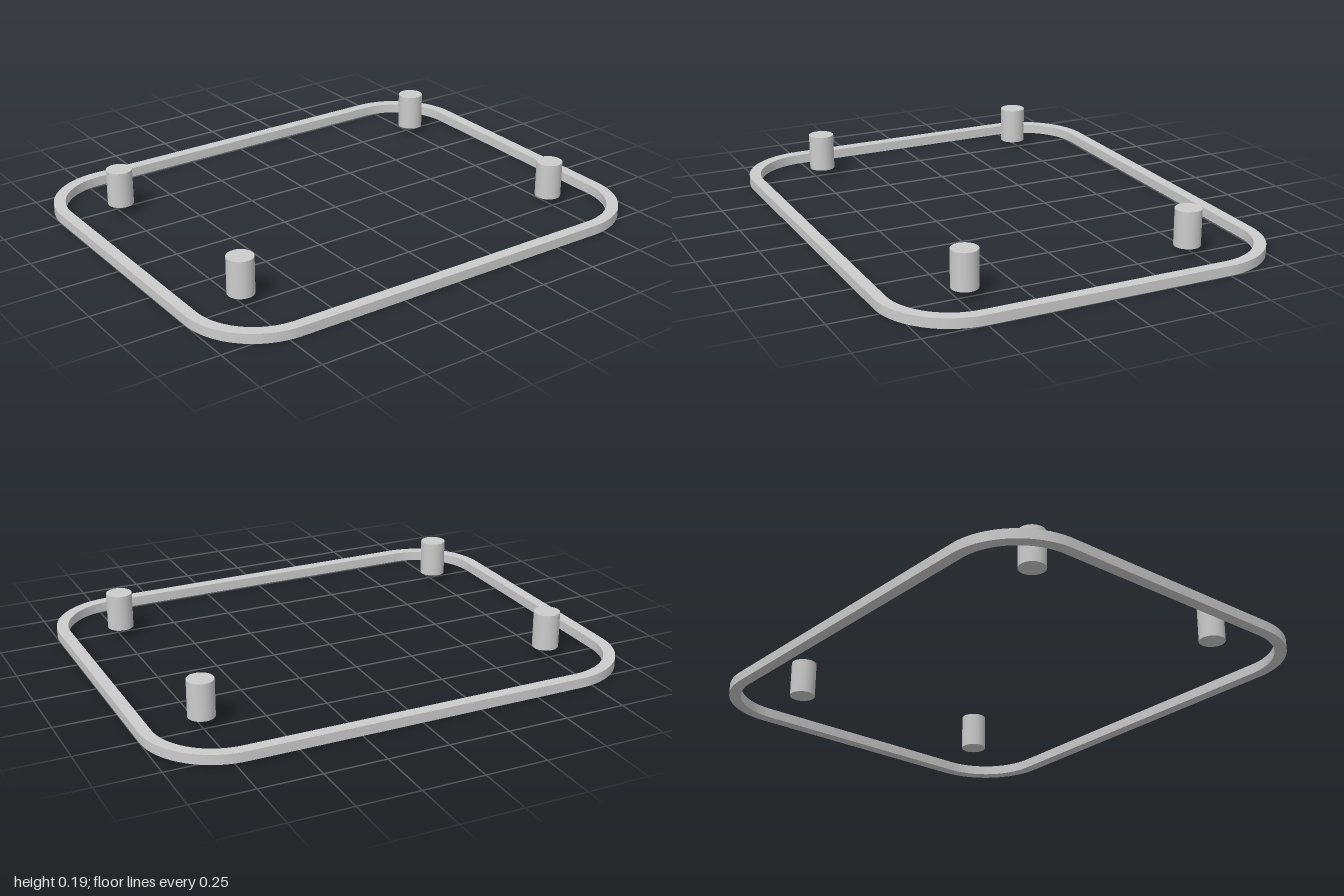
import * as THREE from 'three';
import { toCreasedNormals } from 'three/addons/utils/BufferGeometryUtils.js';

// Traces a rounded rectangle, centred on the origin, into a Shape or Path
function roundedRect(path, halfW, halfD, r) {
  const x = halfW - r, y = halfD - r;
  path.moveTo(-x, -halfD);
  path.lineTo(x, -halfD);
  path.absarc(x, -y, r, -Math.PI / 2, 0);
  path.lineTo(halfW, y);
  path.absarc(x, y, r, 0, Math.PI / 2);
  path.lineTo(-x, halfD);
  path.absarc(-x, y, r, Math.PI / 2, Math.PI);
  path.lineTo(-halfW, -y);
  path.absarc(-x, -y, r, Math.PI, Math.PI * 1.5);
  return path;
}

export function createModel() {
  const model = new THREE.Group();
  const material = new THREE.MeshStandardMaterial({ color: 0xcccccc });

  // Thin rounded rim lying on the ground
  const rimHeight = 0.04, rimWidth = 0.048;
  const outline = roundedRect(new THREE.Shape(), 1, 0.803, 0.3);
  outline.holes.push(roundedRect(new THREE.Path(), 1 - rimWidth, 0.803 - rimWidth, 0.3 - rimWidth));
  const rimGeometry = new THREE.ExtrudeGeometry(outline, { depth: rimHeight, bevelEnabled: false, curveSegments: 20 });
  rimGeometry.rotateX(-Math.PI / 2);
  const rim = new THREE.Mesh(toCreasedNormals(rimGeometry, Math.PI / 6), material);
  rim.name = 'rim';
  model.add(rim);

  // Four short posts, starting level with the top of the rim
  const postHeight = 0.15;
  const postGeometry = new THREE.CylinderGeometry(0.053, 0.053, postHeight, 40);
  for (const [side, sx] of [['left', 1], ['right', -1]]) {
    for (const [end, sz] of [['Front', 1], ['Back', -1]]) {
      const post = new THREE.Mesh(postGeometry, material);
      post.name = `${side}${end}Post`;
      post.position.set(sx * 0.746, rimHeight + postHeight / 2, sz * 0.47);
      model.add(post);
    }
  }
  return model;
}
